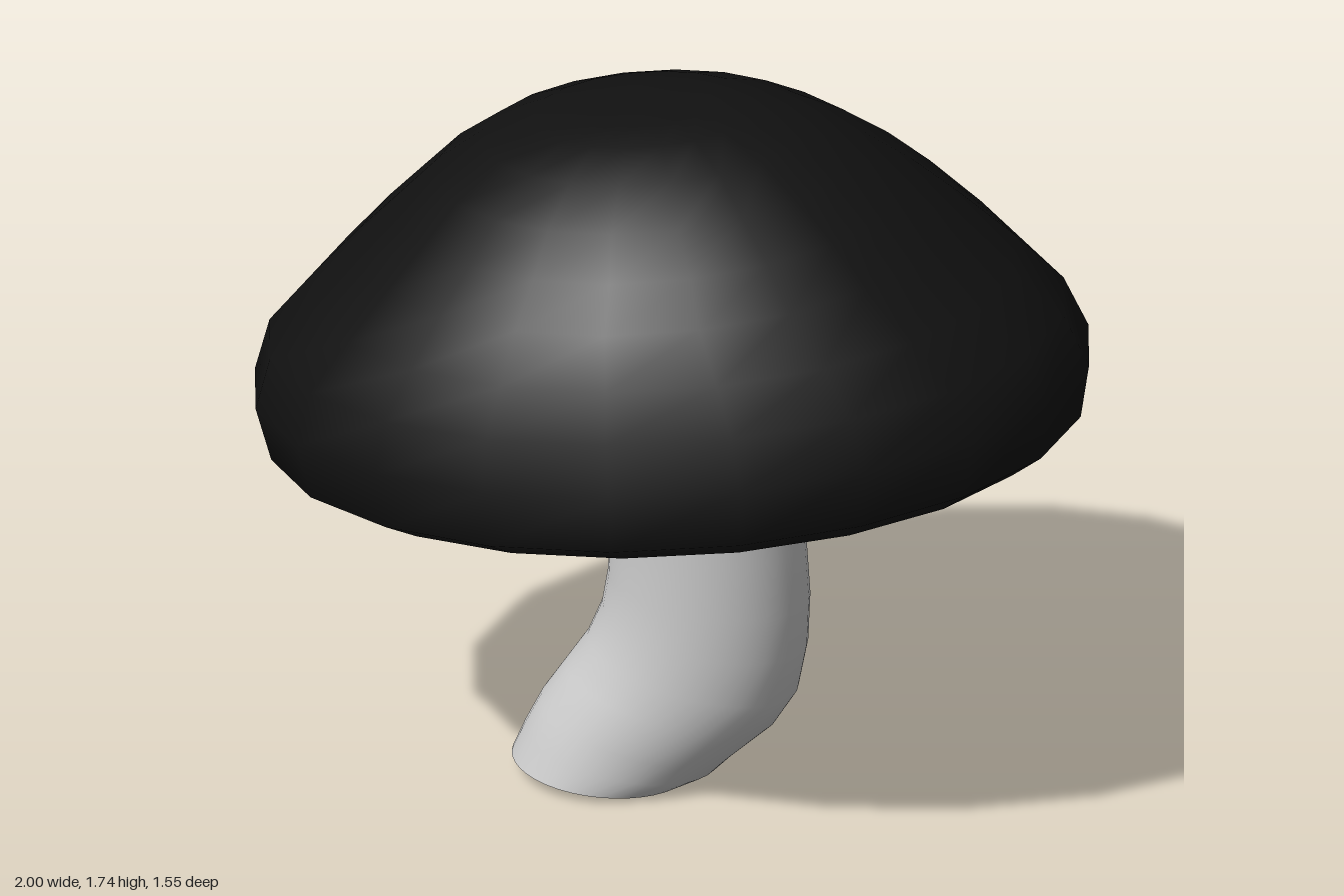
import * as THREE from 'three';

// Skin of elliptical rings: each ring is [leftX, leftY, rightX, rightY, halfDepth].
function loft(rings, sides) {
  const positions = [], index = [];
  for (const [lx, ly, rx, ry, depth] of rings) {
    for (let s = 0; s < sides; s++) {
      const a = (s / sides) * Math.PI * 2;
      const t = (1 + Math.cos(a)) / 2;
      positions.push(lx + (rx - lx) * t, ly + (ry - ly) * t, depth * Math.sin(a));
    }
  }
  for (let r = 0; r < rings.length - 1; r++) {
    for (let s = 0; s < sides; s++) {
      const n = (s + 1) % sides;
      const a = r * sides + s, b = r * sides + n;
      const c = a + sides, d = b + sides;
      index.push(a, c, b, b, c, d);
    }
  }
  const geometry = new THREE.BufferGeometry();
  geometry.setAttribute('position', new THREE.Float32BufferAttribute(positions, 3));
  geometry.setIndex(index);
  geometry.computeVertexNormals();
  return geometry;
}

export function createModel() {
  const group = new THREE.Group();
  const add = (name, geometry, material) => {
    const mesh = new THREE.Mesh(geometry, material);
    mesh.name = name;
    group.add(mesh);
  };
  const grey = new THREE.MeshStandardMaterial({ color: 0xcccccc, side: THREE.DoubleSide });
  const black = new THREE.MeshStandardMaterial({ color: 0x111111 });

  // Lopsided dome, from the tucked-in rim up to the crown
  const rim = [-0.865, 0.78, 0.9, 0.945, 0.68];
  add('cap', loft([
    rim,
    [-0.96, 0.83, 0.98, 1.01, 0.775],
    [-1.0, 0.955, 1.0, 1.145, 0.758],
    [-0.965, 1.085, 0.94, 1.265, 0.73],
    [-0.86, 1.215, 0.82, 1.37, 0.69],
    [-0.75, 1.34, 0.68, 1.48, 0.63],
    [-0.65, 1.445, 0.57, 1.565, 0.545],
    [-0.56, 1.54, 0.45, 1.64, 0.45],
    [-0.45, 1.625, 0.33, 1.7, 0.335],
    [-0.33, 1.685, 0.2, 1.735, 0.22],
    [-0.2, 1.712, 0.1, 1.74, 0.12],
    [-0.05, 1.73, -0.05, 1.73, 0],
  ], 20), black);

  // Flat, tilted underside closing the cap
  add('underside', loft([[0.0175, 0.8625, 0.0175, 0.8625, 0], rim], 20), grey);

  // Bent, open-ended stem
  const stem = [
    [-0.38, 0.04, 0.05, 0.003],
    [-0.35, 0.11, 0.11, 0.03],
    [-0.31, 0.19, 0.15, 0.07],
    [-0.25, 0.28, 0.25, 0.16],
    [-0.2, 0.355, 0.3, 0.24],
    [-0.165, 0.44, 0.323, 0.36],
    [-0.15, 0.53, 0.328, 0.48],
    [-0.143, 0.65, 0.318, 0.63],
    [-0.145, 0.78, 0.295, 0.78],
    [-0.152, 0.88, 0.265, 0.91],
  ].map((ring) => [...ring, 0.215]);
  add('stem', loft(stem, 40), grey);

  return group;
}
